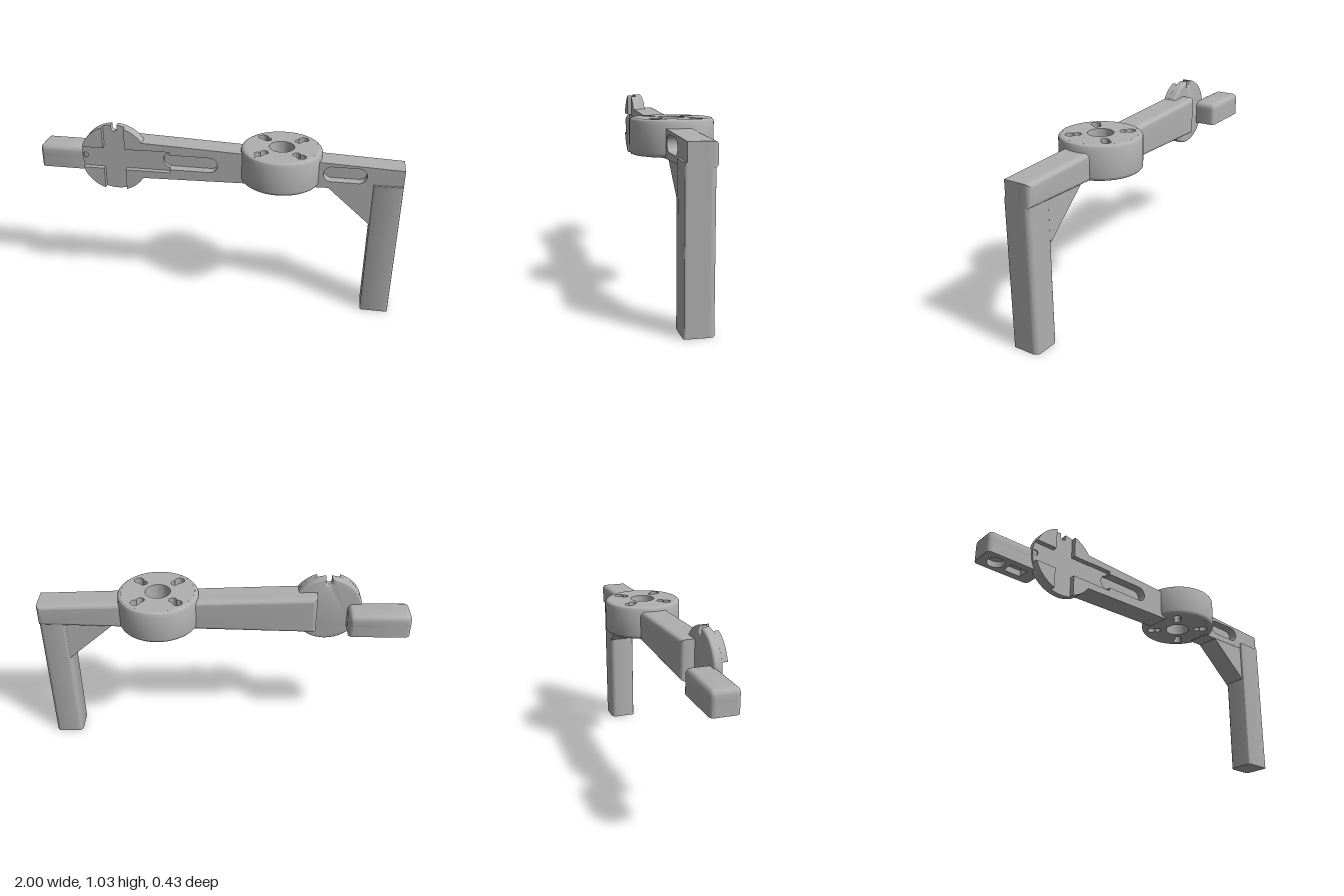
import * as THREE from 'three';
import { toCreasedNormals } from 'three/addons/utils/BufferGeometryUtils.js';

const grey = new THREE.MeshStandardMaterial({ color: 0xb0b0b0 });
grey.name = 'plain grey';
const PI = Math.PI;

// Polygon from corner points
const poly = (pts) => new THREE.Shape(pts.map(([x, y]) => new THREE.Vector2(x, y)));

// Rectangle with separate corner radii at the low-y and high-y sides
function roundedRect(x0, x1, y0, y1, rLow, rHigh) {
  const s = new THREE.Shape();
  s.absarc(x0 + rLow, y0 + rLow, rLow, PI, 1.5 * PI);
  s.absarc(x1 - rLow, y0 + rLow, rLow, 1.5 * PI, 2 * PI);
  s.absarc(x1 - rHigh, y1 - rHigh, rHigh, 0, PI / 2);
  s.absarc(x0 + rHigh, y1 - rHigh, rHigh, PI / 2, PI);
  return s;
}

function circle(x, y, r) {
  const p = new THREE.Path();
  p.absarc(x, y, r, 0, 2 * PI);
  return p;
}

// Extrude between two depths; an optional bevel stays within the outline
function slab(shape, z0, z1, bevel = 0) {
  const g = new THREE.ExtrudeGeometry(shape, {
    depth: z1 - z0 - 2 * bevel, curveSegments: 24, bevelEnabled: bevel > 0,
    bevelSize: bevel, bevelThickness: bevel, bevelOffset: -bevel, bevelSegments: 5,
  });
  return g.translate(0, 0, z0 + bevel);
}

// Arm constants and slots
const FRONT = 0.072, FLOOR = 0.043, BACK = -0.075;
const SLOT_Y = 0.843, SLOT_R = 0.043;
const armTop = (x) => 0.93 - 0.0395 * x;
const armBottom = (x) => 0.747 + 0.025 * x;
const armOutline = (x0, x1) => poly([
  [x0, armBottom(x0)], [x1, armBottom(x1)], [x1, armTop(x1)], [x0, armTop(x0)]]);

function slotPath(a, b) {
  const p = new THREE.Path();
  p.absarc(b, SLOT_Y, SLOT_R, -PI / 2, PI / 2);
  p.absarc(a, SLOT_Y, SLOT_R, PI / 2, 1.5 * PI);
  return p;
}

// Keep slot walls straight where the bevel would widen them
function straightenSlot(g, a, b, bevel) {
  const p = g.attributes.position;
  for (let i = 0; i < p.count; i++) {
    const cx = Math.min(b, Math.max(a, p.getX(i)));
    const dx = p.getX(i) - cx, dy = p.getY(i) - SLOT_Y, d = Math.hypot(dx, dy);
    if (d < SLOT_R + bevel * 1.06) p.setXY(i, cx + dx / d * SLOT_R, SLOT_Y + dy / d * SLOT_R);
  }
  return g;
}

export function createModel() {
  const model = new THREE.Group();
  model.name = 'bracketArm';
  const add = (name, g, upright = false) => {
    if (upright) g.rotateX(-PI / 2);
    const m = new THREE.Mesh(toCreasedNormals(g, 0.6), grey);
    m.name = name;
    model.add(m);
  };

  // Two arm halves: rounded back body and square-edged front layer
  const arms = [
    { name: 'longArm', x: [-0.5, 0.18], slot: [-0.247, -0.03], front: FLOOR },
    { name: 'shortArm', x: [0.52, 1], slot: [0.623, 0.765], front: FRONT },
  ];
  for (const { name, x, slot, front } of arms) {
    const shape = armOutline(...x);
    shape.holes.push(slotPath(...slot));
    add(name + 'Back', straightenSlot(slab(shape, BACK, 0.02, 0.025), ...slot, 0.025));
    add(name + 'Core', slab(shape, -0.02, front));
  }

  // Front layer of the long arm, notched for the cross recess and the slot
  const face = poly([[-0.45, armBottom(-0.45)], [0.18, armBottom(0.18)], [0.18, armTop(0.18)],
    [-0.45, armTop(-0.45)], [-0.45, 0.903], [-0.25, 0.903], [-0.25, SLOT_Y + SLOT_R]]);
  face.absarc(-0.03, SLOT_Y, SLOT_R, PI / 2, -PI / 2, true);
  face.lineTo(-0.25, SLOT_Y - SLOT_R);
  face.lineTo(-0.25, 0.78);
  face.lineTo(-0.45, 0.78);
  add('longArmFace', slab(face, FLOOR, FRONT));

  // Round end plate with a notch at the top and two screw holes
  const cx = -0.56, cy = 0.84, R = 0.19, nr = 0.016, half = 0.061;
  const plate = () => {
    const s = new THREE.Shape(), d = Math.asin(nr / R);
    s.absarc(cx, cy, R, PI / 2 + d, 2.5 * PI - d);
    s.absarc(cx, cy + 0.168, nr, 0, -PI, true);
    return s;
  };
  add('endPlateBack', slab(plate(), 0, 0.035, 0.012));
  const holed = plate();
  for (const side of [-1, 1]) holed.holes.push(circle(cx + side * 0.172, cy, nr));
  add('endPlateCore', slab(holed, 0.012, FLOOR));

  // Four raised quadrants leave a cross-shaped recess
  const a0 = Math.asin(half / R);
  for (let i = 0; i < 4; i++) {
    const q = new THREE.Shape();
    q.moveTo(half, half);
    q.absarc(0, 0, R, a0, PI / 2 - a0);
    q.lineTo(half, half);
    add('endPlateQuadrant', slab(q, FLOOR, FRONT).rotateZ(i * PI / 2).translate(cx, cy, 0));
  }

  // Grip block: rounded top, hollowed underside
  const grip = () => roundedRect(-1, -0.67, -0.03, 0.12, 0.025, 0.025);
  add('gripTop', slab(grip(), 0.78, 0.876, 0.03), true);
  const base = grip();
  base.holes.push(circle(-0.91, 0.045, 0.048));
  base.holes.push(poly([[-0.84, 0.01], [-0.74, 0.01], [-0.74, 0.08], [-0.84, 0.08]]));
  add('gripBase', slab(base, 0.745, 0.825), true);

  // Drum: pierced core with a rounded outer rim
  const dx = 0.35, y0 = 0.763, y1 = 0.95, dr = 0.217, b = 0.02;
  const core = new THREE.Shape();
  core.absarc(0, 0, dr - b, 0, 2 * PI);
  core.holes.push(circle(0, 0, 0.068));
  const far = 0.156, near = 0.12, rf = 0.026, rn = 0.021, gap = far - near;
  const a = (gap * gap + rf * rf - rn * rn) / (2 * gap), h = Math.sqrt(rf * rf - a * a);
  const tf = Math.atan2(h, a), tn = Math.atan2(h, gap - a);
  for (let i = 0; i < 4; i++) {
    const t = PI / 4 + i * PI / 2, k = new THREE.Path();
    k.absarc(far * Math.cos(t), far * Math.sin(t), rf, t - PI + tf, t + PI - tf);
    k.absarc(near * Math.cos(t), near * Math.sin(t), rn, t + tn, t + 2 * PI - tn);
    core.holes.push(k);
  }
  add('drumCore', slab(core, y0, y1).translate(dx, 0, 0), true);
  const rim = [];
  for (let i = 0; i <= 12; i++) {
    const t = -PI / 2 + (i % 7) * PI / 12;
    if (i <= 6) rim.push(new THREE.Vector2(dr - b + b * Math.cos(t), y0 + b + b * Math.sin(t)));
  }
  for (let i = 0; i <= 6; i++) {
    const t = i * PI / 12;
    rim.push(new THREE.Vector2(dr - b + b * Math.cos(t), y1 - b + b * Math.sin(t)));
  }
  add('drumRim', new THREE.LatheGeometry(rim, 72).translate(dx, 0, 0));

  // Leg and its triangular gusset
  add('leg', slab(roundedRect(0.845, 1, -0.085, 0.066, 0.012, 0.03), 0, 0.8), true);
  add('gusset', slab(poly([[0.6, 0.77], [0.86, 0.542], [0.86, 0.77]]), -0.06, 0.07));

  return model;
}
